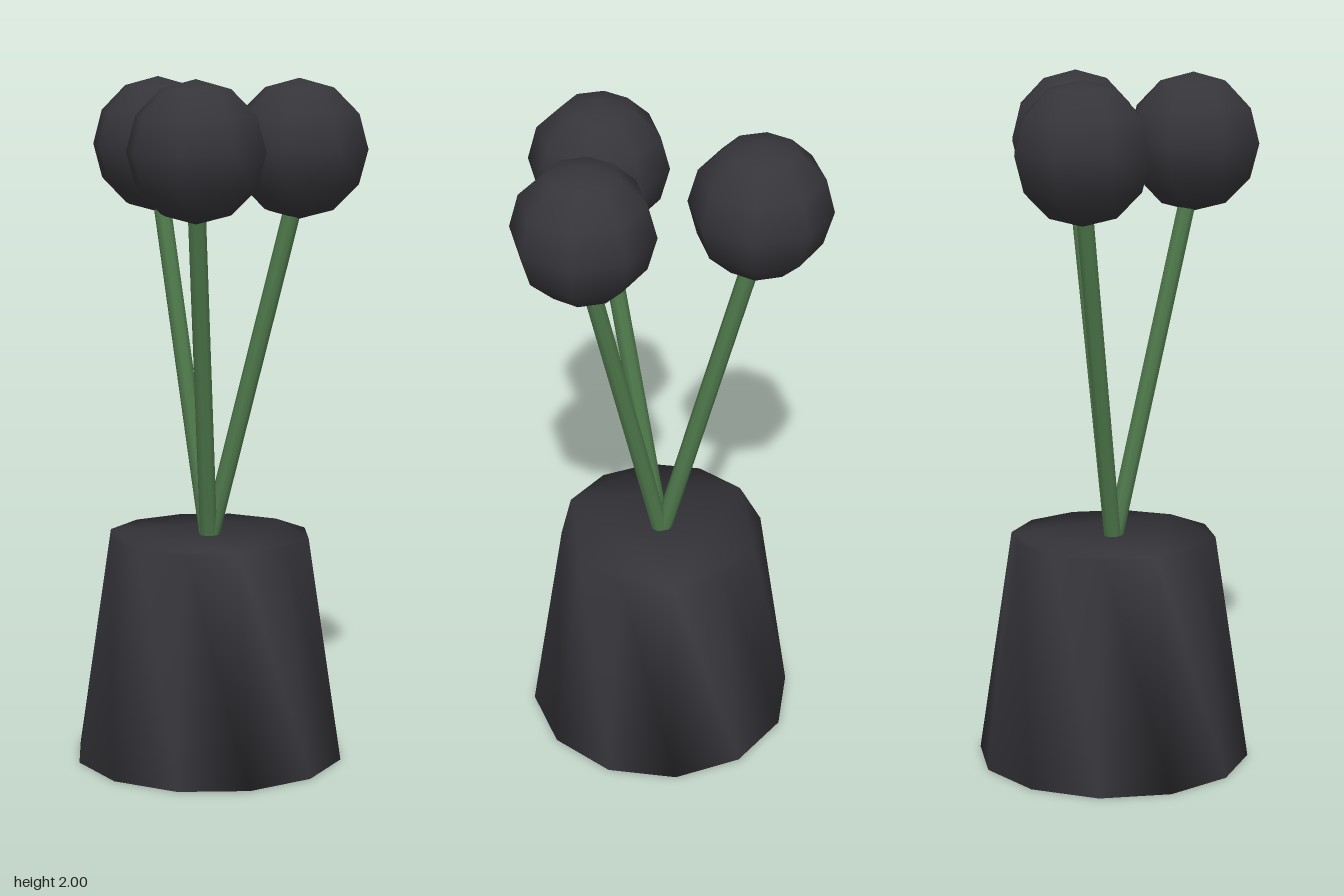
import * as THREE from 'three';
import { mergeVertices } from 'three/addons/utils/BufferGeometryUtils.js';

const dark = new THREE.MeshStandardMaterial({ color: 0x36353a });
const green = new THREE.MeshStandardMaterial({ color: 0x4f7a4c });

const CENTRE = -0.035; // x and z of the pot axis

// Closed twelve-sided tapered pot, shaded smoothly over its rims
function potGeometry(bottomRadius, topRadius, height, sides) {
  const outline = [];
  for (let i = 0; i < sides; i++) {
    const a = (i / sides) * Math.PI * 2;
    outline.push(new THREE.Vector2(Math.cos(a), Math.sin(a)).multiplyScalar(bottomRadius));
  }
  let g = new THREE.ExtrudeGeometry(new THREE.Shape(outline), { depth: height, bevelEnabled: false });
  g.rotateX(-Math.PI / 2);
  const p = g.attributes.position;
  for (let i = 0; i < p.count; i++) {
    const s = THREE.MathUtils.lerp(1, topRadius / bottomRadius, p.getY(i) / height);
    p.setX(i, p.getX(i) * s);
    p.setZ(i, p.getZ(i) * s);
  }
  g.deleteAttribute('normal');
  g.deleteAttribute('uv');
  g = mergeVertices(g, 1e-4);
  g.computeVertexNormals();
  return g;
}

// Straight stem between two points
function makeStem(from, to, radius) {
  const dir = to.clone().sub(from);
  const stem = new THREE.Mesh(new THREE.CylinderGeometry(radius, radius, dir.length(), 8), green);
  stem.position.copy(from).add(to).multiplyScalar(0.5);
  stem.quaternion.setFromUnitVectors(new THREE.Vector3(0, 1, 0), dir.normalize());
  return stem;
}

export function createModel() {
  const model = new THREE.Group();
  model.name = 'pottedFlowers';

  const pot = new THREE.Mesh(potGeometry(0.4, 0.3, 0.665, 12), dark);
  pot.name = 'pot';
  pot.position.set(CENTRE, 0, CENTRE);
  model.add(pot);

  // Three stems fan out from the middle of the pot, each with a round head
  const root = new THREE.Vector3(CENTRE, 0.64, CENTRE);
  const heads = [['left', 0.23, -0.035], ['right', -0.23, -0.215], ['front', -0.01, 0.23]];
  for (const [side, x, z] of heads) {
    const flower = new THREE.Group();
    flower.name = side + 'Flower';

    const stem = makeStem(root, new THREE.Vector3(x, 1.7, z), 0.026);
    stem.name = side + 'Stem';

    const head = new THREE.Mesh(new THREE.SphereGeometry(0.2, 8, 6), dark);
    head.name = side + 'Head';
    head.position.set(x, 1.8, z);

    flower.add(stem, head);
    model.add(flower);
  }
  return model;
}
